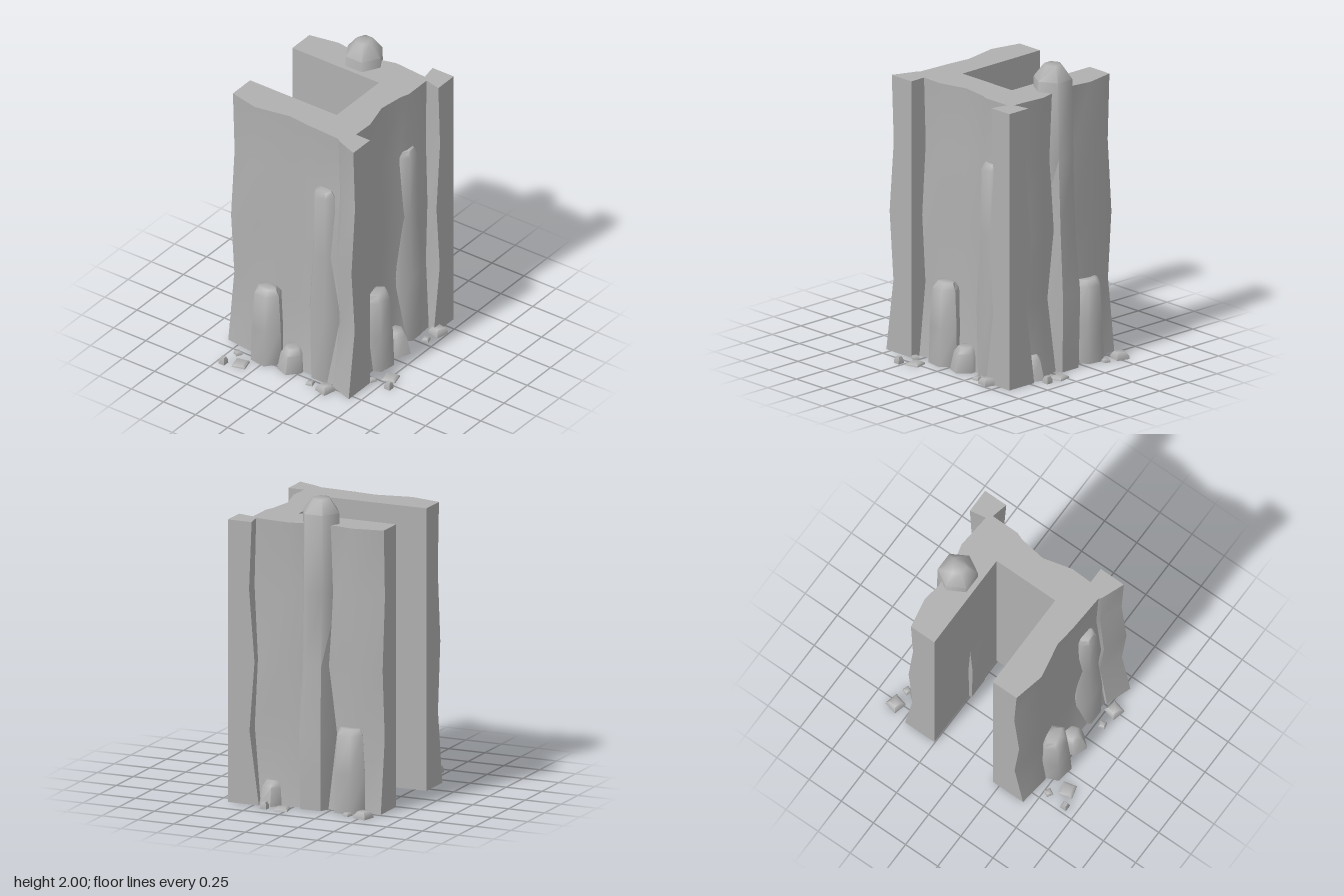
import * as THREE from 'three';
import { toCreasedNormals } from 'three/addons/utils/BufferGeometryUtils.js';

const stone = new THREE.MeshStandardMaterial({ color: 0xb0b0b0 });
stone.name = 'grey stone';

// Solid from stacked rings of [x, y, z], counter-clockwise seen from above, bottom ring first
function loft(rings, crease) {
  const n = rings[0].length, pos = rings.flat(2), idx = [];
  for (let r = 0; r < rings.length - 1; r++) {
    for (let i = 0; i < n; i++) {
      const j = (i + 1) % n, a = r * n, b = a + n;
      idx.push(a + i, a + j, b + j, a + i, b + j, b + i);
    }
  }
  const cap = (ring) => THREE.ShapeUtils.triangulateShape(ring.map((p) => new THREE.Vector2(p[0], -p[2])), []);
  const top = (rings.length - 1) * n;
  for (const [a, b, c] of cap(rings[0])) idx.push(c, b, a);
  for (const [a, b, c] of cap(rings[rings.length - 1])) idx.push(top + a, top + b, top + c);
  const g = new THREE.BufferGeometry();
  g.setAttribute('position', new THREE.Float32BufferAttribute(pos, 3));
  g.setIndex(idx);
  return toCreasedNormals(g, crease);
}

// Many-sided rock; profile rows are [height, x radius, z radius]
function rockGeometry(x, z, profile, turn = 0, sides = 6) {
  const rings = profile.map(([y, rx, rz]) => Array.from({ length: sides }, (_, i) => {
    const a = turn - (i / sides) * Math.PI * 2;
    return [x + rx * Math.cos(a), y, z + rz * Math.sin(a)];
  }));
  return loft(rings, 1.1);
}

export function createModel() {
  const model = new THREE.Group();
  const add = (name, geometry) => {
    const m = new THREE.Mesh(geometry, stone);
    m.name = name;
    model.add(m);
    return m;
  };

  // Cliff outline: x, z at the top, then the direction in which the weathered face swells
  const outline = [
    [-0.2, -0.585, 0, 0], [-0.385, -0.585, -1, 0], [-0.43, -0.38, -0.6, 0], [-0.385, -0.14, -0.5, 0],
    [-0.4, 0, -1, 0], [-0.415, 0.26, -1, 0], [-0.43, 0.275, -1, -0.3], [-0.49, 0.43, -1, 0],
    [-0.31, 0.43, 0, 0], [-0.31, 0.32, 0, 0.8], [-0.165, 0.325, 0, 0.8], [0.03, 0.275, 0, 0.6],
    [0.205, 0.3, 0, 0.7], [0.26, 0.32, 0, 0.9], [0.45, 0.32, -0.5, 0.7], [0.425, 0.43, -1, 0],
    [0.59, 0.43, 0, 0], [0.59, 0.265, 0, -1], [0.48, 0.285, 0.8, -1], [0.5, 0.05, 0.8, 0],
    [0.477, -0.04, 0.8, 0], [0.455, -0.26, 0.8, 0], [0.475, -0.38, 0.4, 0], [0.437, -0.585, 0.9, 0],
    [0.255, -0.585, 0, 0], [0.255, 0.09, 0, 0], [-0.2, 0.09, 0, 0],
  ];
  const swell = [[0, 0.05], [0.48, -0.015], [0.93, 0.02], [1.4, -0.018], [1.84, 0]];
  add('cliffWalls', loft(swell.map(([y, d]) => outline.map(([x, z, dx, dz]) => [x + dx * d, y, z + dz * d])), 0.5));

  // Great pillar on the left side, rising over the top
  add('greatPillar', rockGeometry(0.4, -0.13, [
    [0, 0.185, 0.14], [0.5, 0.196, 0.15], [0.93, 0.155, 0.125], [1.4, 0.137, 0.127],
    [1.91, 0.128, 0.127], [2, 0.062, 0.056],
  ], Math.PI / 6));

  // Slender pillars on the front and the right side
  const slender = [[0, 0.1, 0.085], [0.48, 0.117, 0.09], [0.93, 0.087, 0.065], [1.37, 0.08, 0.06], [1.41, 0.055, 0.04]];
  const swap = (profile) => profile.map(([y, a, b]) => [y, b, a]);
  add('frontSlenderPillar', rockGeometry(0.28, 0.29, slender));
  add('sideSlenderPillar', rockGeometry(-0.405, 0.145, swap(slender), Math.PI / 2));

  // Upright boulders and low boulders leaning on each wall
  const upright = [[0, 0.115, 0.11], [0.25, 0.112, 0.1], [0.5, 0.095, 0.08], [0.54, 0.07, 0.045]];
  const low = [[0, 0.095, 0.115], [0.12, 0.075, 0.085], [0.155, 0.05, 0.055]];
  add('frontUprightBoulder', rockGeometry(-0.095, 0.33, upright, 0.15));
  add('frontLowBoulder', rockGeometry(0.09, 0.33, low, 0.3));
  add('rightUprightBoulder', rockGeometry(-0.45, -0.265, swap(upright), Math.PI / 2 + 0.15));
  add('rightLowBoulder', rockGeometry(-0.44, -0.075, swap(low), Math.PI / 2 + 0.3));
  add('leftUprightBoulder', rockGeometry(0.47, -0.365, swap(upright), Math.PI / 2 + 0.15));
  add('leftLowBoulder', rockGeometry(0.485, 0.155, swap(low), Math.PI / 2 + 0.3));

  // Loose stones on the ground: x, z, width, height, turn
  const stones = [
    [-0.668, -0.455, 0.045, 0.045, 0], [-0.53, -0.44, 0.045, 0.022, 0.5], [-0.618, -0.355, 0.09, 0.022, -0.25],
    [-0.54, 0.13, 0.045, 0.022, -0.25], [-0.545, 0.25, 0.09, 0.045, 0.25], [-0.278, 0.425, 0.045, 0.022, 0.5],
    [-0.193, 0.507, 0.09, 0.022, -0.25], [-0.288, 0.56, 0.045, 0.045, 0], [0.293, 0.43, 0.045, 0.022, -0.25],
    [0.405, 0.445, 0.09, 0.045, 0.25], [0.602, -0.52, 0.09, 0.045, 0.25], [0.595, -0.405, 0.045, 0.022, 0.3],
    [0.631, 0.035, 0.09, 0.022, -0.2], [0.645, 0.15, 0.045, 0.045, 0],
  ];
  for (const [x, z, w, h, turn] of stones) {
    const r = w * Math.SQRT1_2;
    add('looseStone', rockGeometry(x, z, [[0, r, r], [h * 0.5, r * 0.95, r * 0.95], [h, r * 0.6, r * 0.6]], Math.PI / 4 + turn, 4));
  }
  return model;
}
